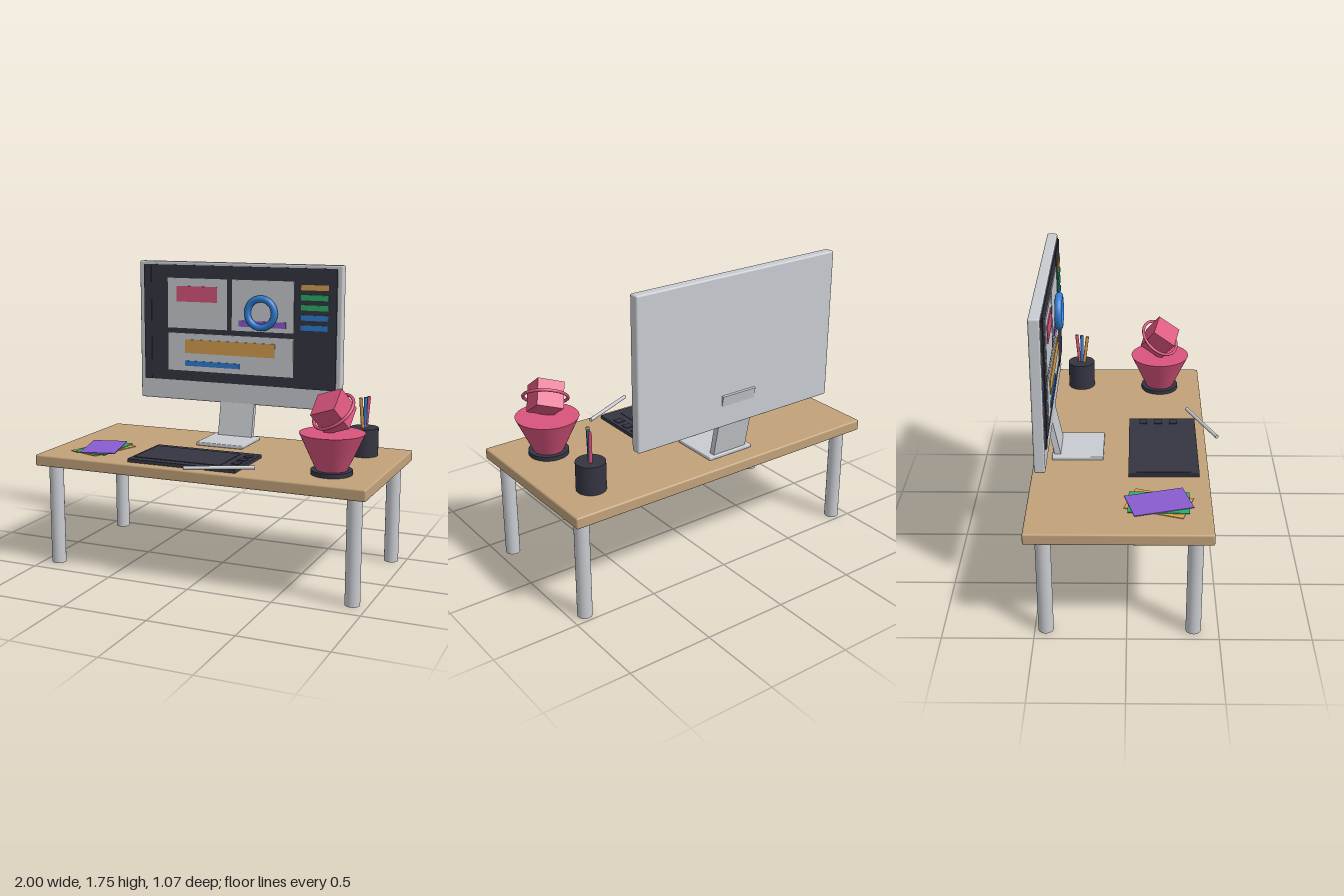
import * as THREE from 'three';
import { RoundedBoxGeometry } from 'three/addons/geometries/RoundedBoxGeometry.js';

const mat = (name, color) => {
  const m = new THREE.MeshStandardMaterial({ color });
  m.name = name;
  return m;
};

export function createModel() {
  const wood = mat('wood', 0xc1a27a), silver = mat('silver', 0xc8cbd0), dark = mat('charcoal', 0x353543);
  const pink = mat('pink', 0xd9547c), blue = mat('blue', 0x2f7dd4), green = mat('green', 0x2cae68);
  const orange = mat('orange', 0xd69f4e), purple = mat('purple', 0x895cd0);

  const model = new THREE.Group();
  const add = (parent, name, geometry, material, x, y, z) => {
    const mesh = new THREE.Mesh(geometry, material);
    mesh.name = name;
    mesh.position.set(x, y, z);
    parent.add(mesh);
    return mesh;
  };
  const group = (name) => {
    const g = new THREE.Group();
    g.name = name;
    model.add(g);
    return g;
  };
  const box = (w, h, d) => new THREE.BoxGeometry(w, h, d);

  // Desk: bevelled top on four round legs
  const desk = group('desk');
  add(desk, 'deskTop', new RoundedBoxGeometry(2, 0.066, 0.995, 2, 0.01), wood, 0, 0.636, -0.041);
  for (const x of [-0.915, 0.915]) {
    for (const z of [0.363, -0.44]) {
      add(desk, 'leg', new THREE.CylinderGeometry(0.042, 0.042, 0.605, 32), silver, x, 0.3025, z);
    }
  }

  // Monitor: casing, screen, foot and leaning neck
  const monitor = group('monitor');
  add(monitor, 'casing', new RoundedBoxGeometry(1.334, 0.868, 0.06, 2, 0.01), silver, -0.087, 1.321, -0.456);
  add(monitor, 'foot', new RoundedBoxGeometry(0.3, 0.022, 0.295, 2, 0.006), silver, -0.087, 0.68, -0.287);
  const neck = add(monitor, 'neck', box(0.225, 0.42, 0.035), silver, -0.087, 0.871, -0.44);
  neck.rotation.x = -0.2;

  // Screen contents as stacked thin plates: x0, x1, y0, y1, front z
  const plate = (name, material, x0, x1, y0, y1, front, t = 0.006) =>
    add(monitor, name, box(x1 - x0, y1 - y0, t), material, (x0 + x1) / 2, (y0 + y1) / 2, front - t / 2);
  plate('screen', dark, -0.72, 0.549, 1.012, 1.735, -0.42, 0.009);
  plate('toolStrip', dark, -0.72, -0.67, 1.012, 1.73, -0.416);
  plate('sidePanel', dark, 0.295, 0.549, 1.012, 1.73, -0.416);
  plate('leftWindow', silver, -0.554, -0.153, 1.344, 1.655, -0.415);
  plate('rightWindow', silver, -0.12, 0.281, 1.344, 1.655, -0.415);
  plate('lowerWindow', silver, -0.554, 0.281, 1.076, 1.312, -0.415);
  plate('pinkBlock', pink, -0.49, -0.217, 1.51, 1.606, -0.409);
  plate('purpleBar', purple, -0.072, 0.233, 1.371, 1.408, -0.409);
  plate('orangeBar', orange, -0.436, 0.163, 1.189, 1.274, -0.409);
  plate('blueBar', blue, -0.436, -0.067, 1.108, 1.14, -0.409);
  [orange, green, green, blue, blue].forEach((m, i) => {
    const y = 1.622 - i * 0.06;
    plate('swatch', m, 0.329, 0.5, y - 0.016, y + 0.016, -0.409);
  });
  add(monitor, 'screenRing', new THREE.TorusGeometry(0.087, 0.021, 16, 48), blue, 0.08, 1.46, -0.391);

  // Drawing tablet with active area and side buttons
  const tablet = group('tablet');
  add(tablet, 'tabletBody', box(0.664, 0.02, 0.397), dark, -0.086, 0.679, 0.204);
  add(tablet, 'activeArea', box(0.535, 0.005, 0.303), dark, -0.134, 0.69, 0.202);
  for (const z of [0.09, 0.18, 0.27]) {
    add(tablet, 'tabletButton', box(0.048, 0.007, 0.048), dark, 0.201, 0.691, z);
  }

  // Stylus lying across the front edge
  const rod = (parent, name, material, from, to, r) => {
    const a = new THREE.Vector3(...from), b = new THREE.Vector3(...to);
    const dir = b.clone().sub(a);
    const mid = a.clone().add(b).multiplyScalar(0.5);
    const mesh = add(parent, name, new THREE.CylinderGeometry(r, r, dir.length(), 16), material, mid.x, mid.y, mid.z);
    mesh.quaternion.setFromUnitVectors(new THREE.Vector3(0, 1, 0), dir.normalize());
  };
  rod(model, 'stylus', silver, [-0.01, 0.703, 0.524], [0.347, 0.703, 0.36], 0.011);

  // Fanned colour cards
  const cards = group('cards');
  [[orange, -0.31], [green, -0.03], [purple, 0.27]].forEach(([m, turn], i) => {
    add(cards, 'card', box(0.208, 0.004, 0.33), m, -0.7, 0.673 + i * 0.005, 0.171).rotation.y = turn;
  });

  // Pencil pot
  const pot = group('pencilPot');
  add(pot, 'pot', new THREE.CylinderGeometry(0.083, 0.083, 0.164, 40), dark, 0.766, 0.751, -0.308);
  rod(pot, 'pencil', orange, [0.766, 0.72, -0.305], [0.752, 1.012, -0.267], 0.01);
  rod(pot, 'pencil', blue, [0.768, 0.72, -0.307], [0.77, 1.012, -0.304], 0.01);
  rod(pot, 'pencil', pink, [0.766, 0.72, -0.309], [0.782, 1.012, -0.337], 0.01);

  // Desk sculpture: puck, flaring cone, tilted cube with a ring
  const sculpture = group('sculpture');
  add(sculpture, 'puck', new THREE.CylinderGeometry(0.115, 0.115, 0.025, 40), dark, 0.731, 0.6815, 0.197);
  add(sculpture, 'cone', new THREE.CylinderGeometry(0.181, 0.086, 0.205, 48), pink, 0.731, 0.7955, 0.197);
  const topper = new THREE.Group();
  topper.name = 'tiltedCube';
  topper.position.set(0.735, 1.014, 0.197);
  topper.rotation.set(0.62, 0, 0.4);
  sculpture.add(topper);
  add(topper, 'cube', box(0.157, 0.157, 0.157), pink, 0, 0, 0);
  add(topper, 'cubeRing', new THREE.TorusGeometry(0.125, 0.009, 12, 48), pink, 0, 0, 0).rotation.x = Math.PI / 2;

  return model;
}
